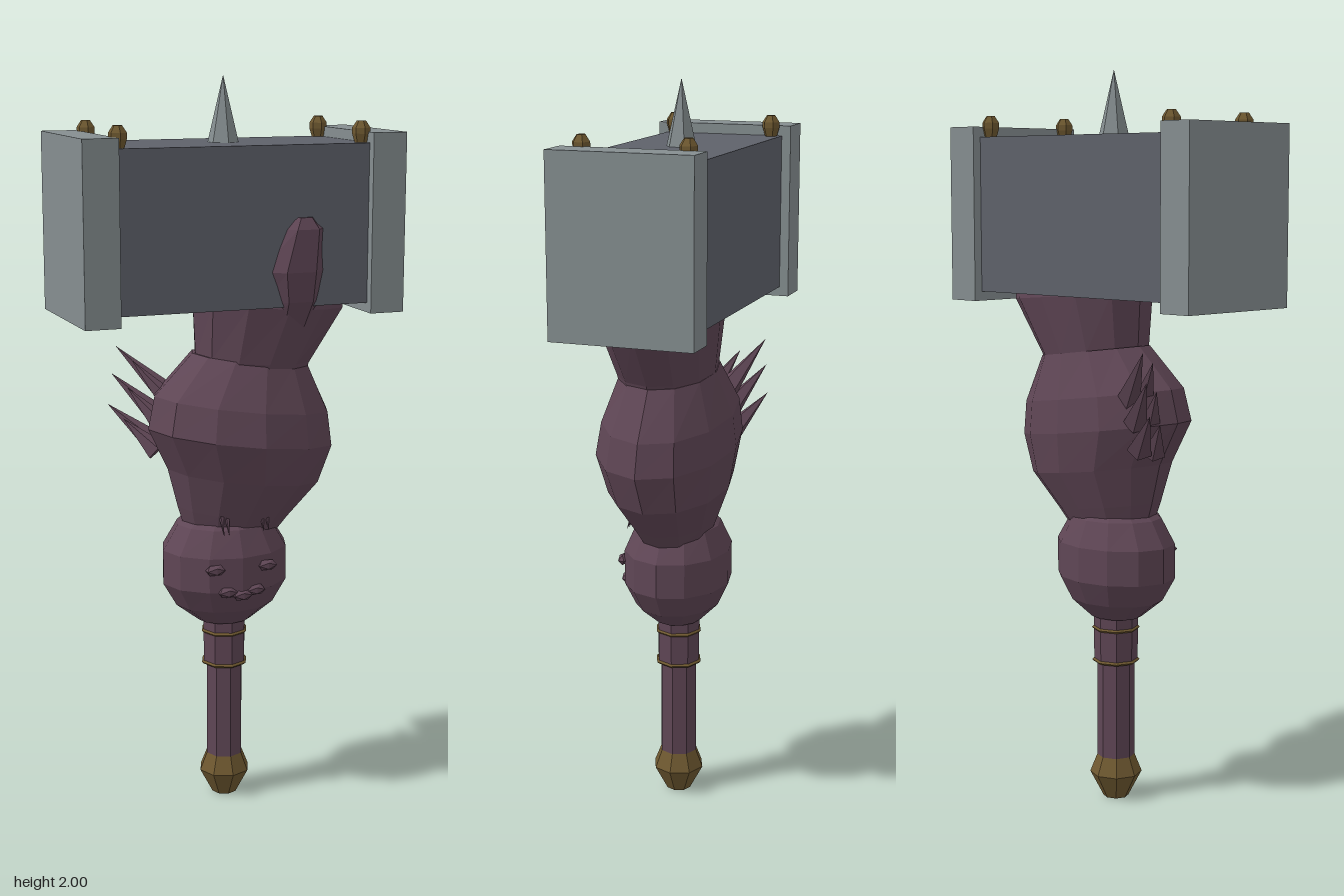
import * as THREE from 'three';

function material(name, color) {
  const m = new THREE.MeshStandardMaterial({ color });
  m.name = name;
  m.flatShading = true;
  return m;
}

// Closed skin over tilted elliptical rings, each [x, y, z, radiusX, radiusZ]
function loft(rings, sides, slope = 0, turn = 0) {
  const pos = [], index = [];
  const [first, last] = [rings[0], rings[rings.length - 1]];
  for (const [x, y, z, rx, rz] of rings) {
    for (let i = 0; i < sides; i++) {
      const a = (i / sides) * Math.PI * 2 + turn;
      const dx = Math.cos(a) * rx;
      pos.push(x + dx, y + dx * slope, z + Math.sin(a) * rz);
    }
  }
  const base = rings.length * sides;
  pos.push(...first.slice(0, 3), ...last.slice(0, 3));
  for (let i = 0; i < sides; i++) {
    const j = (i + 1) % sides;
    for (let r = 0; r < rings.length - 1; r++) {
      const a = r * sides + i, b = r * sides + j;
      index.push(a, a + sides, b, b, a + sides, b + sides);
    }
    const top = (rings.length - 1) * sides;
    index.push(base, i, j, base + 1, top + j, top + i);
  }
  const g = new THREE.BufferGeometry();
  g.setAttribute('position', new THREE.Float32BufferAttribute(pos, 3));
  g.setIndex(index);
  g.computeVertexNormals();
  return g;
}

export function createModel() {
  const model = new THREE.Group();
  model.name = 'warHammer';
  const steel = material('pale steel', 0x858e90);
  const iron = material('dark iron', 0x5e616a);
  const hide = material('purple hide', 0x5f4655);
  const brass = material('old brass', 0x6e5830);
  const Z = -0.008;

  const add = (name, geometry, mat, x = 0, y = 0, z = 0) => {
    const mesh = new THREE.Mesh(geometry, mat);
    mesh.name = name;
    mesh.position.set(x, y, z);
    model.add(mesh);
    return mesh;
  };
  const lathe = (points, sides) =>
    new THREE.LatheGeometry(points.map(([r, y]) => new THREE.Vector2(r, y)), sides);

  // Cone running from a base point to a tip
  const thorn = (name, from, to, radius, mat) => {
    const a = new THREE.Vector3(...from), b = new THREE.Vector3(...to);
    const dir = b.clone().sub(a);
    const mid = a.clone().add(b).multiplyScalar(0.5);
    const mesh = add(name, new THREE.ConeGeometry(radius, dir.length(), 5), mat, mid.x, mid.y, mid.z);
    mesh.quaternion.setFromUnitVectors(new THREE.Vector3(0, 1, 0), dir.normalize());
  };

  // Grip
  add('pommel', lathe([[0, 0], [0.035, 0], [0.072, 0.07], [0.05, 0.125], [0, 0.125]], 8), brass);
  add('handle', new THREE.CylinderGeometry(0.052, 0.052, 0.42, 8), hide, 0, 0.33, 0);
  add('handleSleeve', new THREE.CylinderGeometry(0.062, 0.06, 0.16, 8), hide, 0, 0.47, 0);
  for (const y of [0.393, 0.485]) {
    const ring = add('handleRing', new THREE.TorusGeometry(0.061, 0.005, 4, 8), brass, 0, y, 0);
    ring.rotation.x = Math.PI / 2;
  }

  // Lower bulb with small bumps on its front
  add('lowerBulb', loft([
    [0, 0.52, 0, 0.075, 0.065], [0, 0.57, 0, 0.14, 0.115], [0, 0.635, 0, 0.178, 0.145],
    [0, 0.73, 0, 0.178, 0.145], [0, 0.80, 0, 0.135, 0.115], [0, 0.84, 0, 0.08, 0.07],
  ], 12), hide);
  for (const [x, y, z] of [[-0.075, 0.7, 0.132], [0.075, 0.7, 0.132], [-0.04, 0.635, 0.135], [0.04, 0.635, 0.135], [0, 0.625, 0.14]]) {
    const bump = add('bulbBump', new THREE.IcosahedronGeometry(0.03, 0), hide, x, y, z);
    bump.scale.set(1, 0.55, 0.55);
  }
  for (const x of [-0.045, -0.03, 0.07, 0.085]) {
    thorn('collarThorn', [x, 0.84, 0.1], [x, 0.79, 0.12], 0.008, hide);
  }

  // Leaning middle bulb and the neck above it
  add('middleBulb', loft([
    [0.015, 0.785, 0, 0.135, 0.1], [0.025, 0.83, 0, 0.16, 0.12], [0.055, 0.93, 0, 0.218, 0.163],
    [0.045, 1.04, 0.008, 0.265, 0.188], [0.05, 1.13, 0.003, 0.25, 0.175], [0.075, 1.25, -0.003, 0.165, 0.13],
  ], 12, -0.13), hide);
  add('neck', loft([
    [0.08, 1.22, 0, 0.15, 0.125], [0.08, 1.25, 0, 0.162, 0.132],
    [0.125, 1.4, 0, 0.215, 0.16], [0.135, 1.46, 0, 0.2, 0.15],
  ], 12, -0.08), hide);

  // Knob gripping the front of the head
  add('frontKnob', loft([
    [0.145, 1.34, 0.08, 0.07, 0.06], [0.15, 1.42, 0.09, 0.09, 0.09], [0.145, 1.5, 0.095, 0.108, 0.1],
    [0.165, 1.61, 0.095, 0.08, 0.095], [0.165, 1.64, 0.1, 0.04, 0.075],
  ], 8, 0, Math.PI / 8), hide);

  // Back thorns, two rows of three
  for (const [x, y, tx, ty] of [[-0.13, 1.14, -0.255, 1.275], [-0.155, 1.08, -0.268, 1.2], [-0.17, 1.01, -0.28, 1.115]]) {
    thorn('sideThorn', [x, y, -0.085], [tx, ty, -0.165], 0.035, hide);
    thorn('sideThorn', [x - 0.01, y - 0.01, -0.04], [tx + 0.025, ty - 0.03, -0.1], 0.032, hide);
  }

  // Hammer head, end plates and top spike
  add('head', new THREE.BoxGeometry(0.7, 0.42, 0.335), iron, 0, 1.617, Z);
  add('topSpike', new THREE.ConeGeometry(0.043, 0.18, 6), steel, 0, 1.91, Z);
  for (const s of [-1, 1]) {
    add('endPlate', new THREE.BoxGeometry(0.095, 0.473, 0.385), steel, s * 0.393, 1.618, Z);
    for (const dz of [-0.14, 0.14]) {
      add('stud', lathe([[0, 1.81], [0.012, 1.81], [0.024, 1.85], [0.024, 1.865], [0.012, 1.883], [0, 1.883]], 6),
        brass, s * 0.333, 0, Z + dz);
    }
  }
  return model;
}
